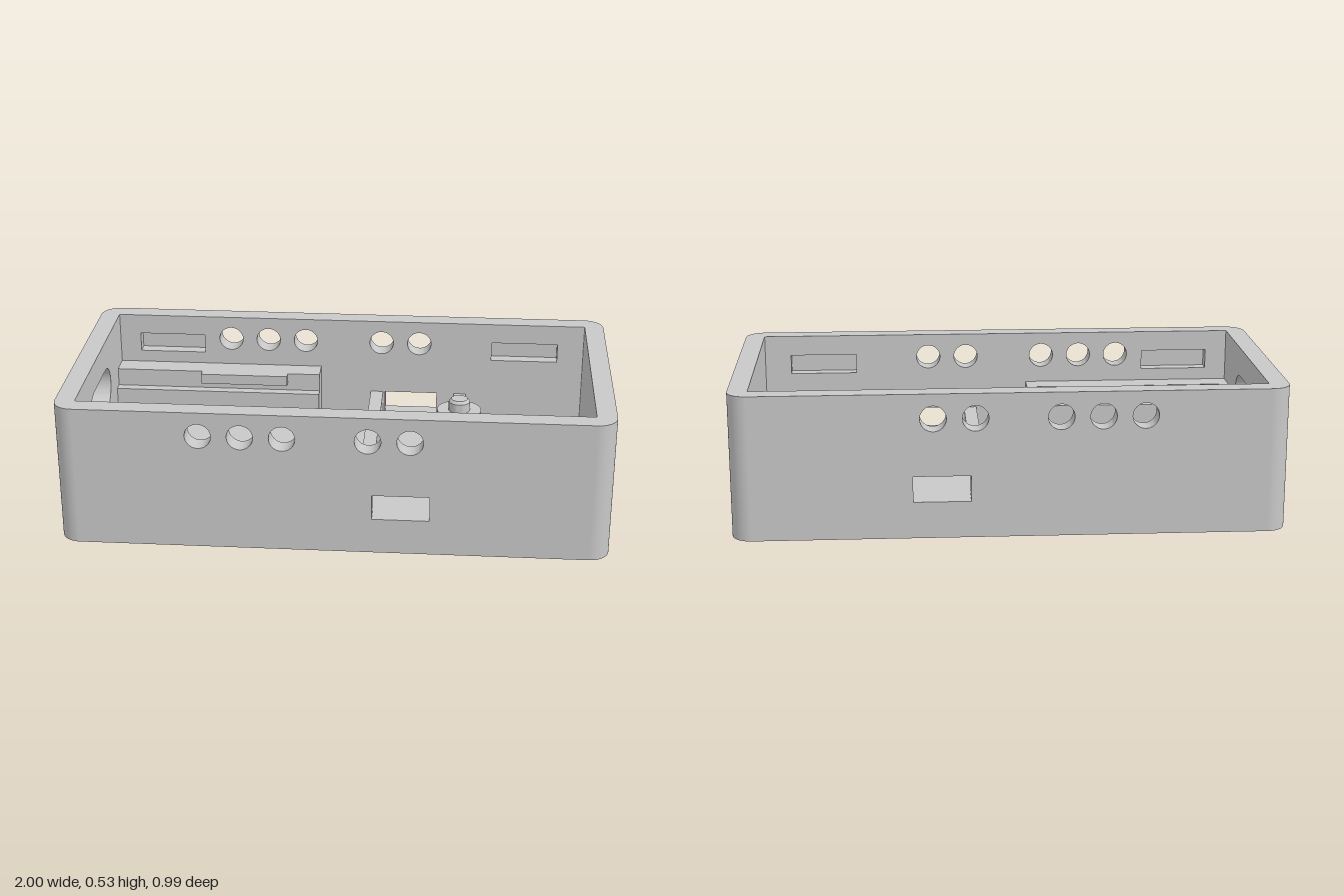
import * as THREE from 'three';
import { toCreasedNormals } from 'three/addons/utils/BufferGeometryUtils.js';

const H = 0.533, X = 1, Z = 0.495, W = 0.073; // outer size and wall thickness
const IX = X - W, IZ = Z - W;                 // inner cavity half sizes
const FLOOR = 0.134, RIB = 0.23;

const grey = new THREE.MeshStandardMaterial({ color: 0xc8c8c8 });
grey.name = 'grey plastic';

export function createModel() {
  const model = new THREE.Group();
  model.name = 'enclosure';

  const add = (name, geometry, x = 0, y = 0, z = 0) => {
    const mesh = new THREE.Mesh(geometry, grey);
    mesh.name = name;
    mesh.position.set(x, y, z);
    model.add(mesh);
  };
  // Box given by its limits
  const box = (name, x0, x1, y0, y1, z0, z1) =>
    add(name, new THREE.BoxGeometry(x1 - x0, y1 - y0, z1 - z0), (x0 + x1) / 2, (y0 + y1) / 2, (z0 + z1) / 2);

  const trace = (path, x0, x1, y0, y1) =>
    path.moveTo(x0, y0).lineTo(x1, y0).lineTo(x1, y1).lineTo(x0, y1).closePath();
  const rect = (x0, x1, y0, y1) => trace(new THREE.Path(), x0, x1, y0, y1);
  const circle = (x, y, r) => new THREE.Path().absarc(x, y, r, 0, Math.PI * 2, true);
  const plate = (x0, x1, y0, y1, holes, depth) => {
    const shape = trace(new THREE.Shape(), x0, x1, y0, y1);
    shape.holes.push(...holes);
    return toCreasedNormals(
      new THREE.ExtrudeGeometry(shape, { depth, bevelEnabled: false, curveSegments: 24 }), 0.6);
  };

  // Long walls: an outer skin with through holes, an inner skin that adds blind latch slots
  const through = () => [
    ...[-0.477, -0.327, -0.177, 0.127, 0.277].map((x) => circle(x, 0.442, 0.047)),
    rect(0.143, 0.35, 0.135, 0.23),
  ];
  const latches = () => [rect(-0.845, -0.585, 0.38, 0.455), rect(0.565, 0.825, 0.38, 0.455)];
  const skin = 0.025;
  for (const [side, s] of [['front', 1], ['back', -1]]) {
    add(side + 'WallOuter', plate(-IX, IX, 0, H, through(), skin), 0, 0, s > 0 ? Z - skin : -Z);
    add(side + 'WallInner', plate(-IX, IX, 0, H, [...through(), ...latches()], W - skin), 0, 0,
      s > 0 ? IZ : -Z + skin);
  }

  // End walls: plain on one end, a rounded cable slot in the other
  box('plainEndWall', IX, X, 0, H, -IZ, IZ);
  const r = 0.08, half = 0.107, sy = 0.345;
  const slot = new THREE.Path()
    .absarc(half, sy, r, -Math.PI / 2, Math.PI / 2, false)
    .absarc(-half, sy, r, Math.PI / 2, Math.PI * 1.5, false)
    .closePath();
  add('slottedEndWall', plate(-IZ, IZ, 0, H, [slot], W).rotateY(-Math.PI / 2), -IX);

  // Rounded vertical corners
  [[1, 1], [1, -1], [-1, -1], [-1, 1]].forEach(([sx, sz], i) =>
    add('roundedCorner', new THREE.CylinderGeometry(W, W, H, 12, 1, false, i * Math.PI / 2, Math.PI / 2),
      sx * IX, H / 2, sz * IZ));

  // Floor with four tapered round recesses; its ends run into the end walls
  const base = 0.065, FX = X - 0.04;
  const recesses = [[-0.823, 0], [-0.233, 0], [0.835, -0.295], [0.835, 0.295]];
  box('floorBase', -IX, IX, 0, base, -IZ, IZ);
  add('floorTop', plate(-FX, FX, -IZ, IZ, recesses.map(([x, z]) => circle(x, -z, 0.106)), FLOOR - base)
    .rotateX(-Math.PI / 2), 0, base);
  for (const [x, z] of recesses) {
    add('recessWall', new THREE.LatheGeometry(
      [new THREE.Vector2(0.106, FLOOR), new THREE.Vector2(0.095, base)], 48), x, 0, z);
  }

  // Cross ribs
  box('dividerRib', 0.085, 0.135, FLOOR, RIB, -IZ, IZ);
  box('postRib', 0.42, 0.467, FLOOR, RIB, -IZ, IZ);

  for (const s of [1, -1]) {
    // Mounting posts with chamfered locating pins
    add('mountingPost', new THREE.CylinderGeometry(0.087, 0.087, RIB - FLOOR, 40),
      0.444, (RIB + FLOOR) / 2, s * 0.27);
    const pin = [[0.042, RIB], [0.042, 0.267], [0.032, 0.278], [0, 0.278]].map((p) => new THREE.Vector2(...p));
    add('locatingPin', toCreasedNormals(new THREE.LatheGeometry(pin, 32), 0.6), 0.444, 0, s * 0.27);

    // Board rails: tall back block, low ledge and overhanging clip
    const rail = (name, x0, x1, y0, y1, a, b) =>
      box(name, x0, x1, y0, y1, Math.min(s * a, s * b), Math.max(s * a, s * b));
    rail('railBlock', -IX, -0.115, FLOOR, 0.333, 0.335, IZ);
    rail('railLedge', -IX, -0.115, FLOOR, 0.263, 0.298, 0.335);
    rail('railClip', -0.587, -0.243, 0.293, 0.333, 0.305, 0.335);
  }

  return model;
}
